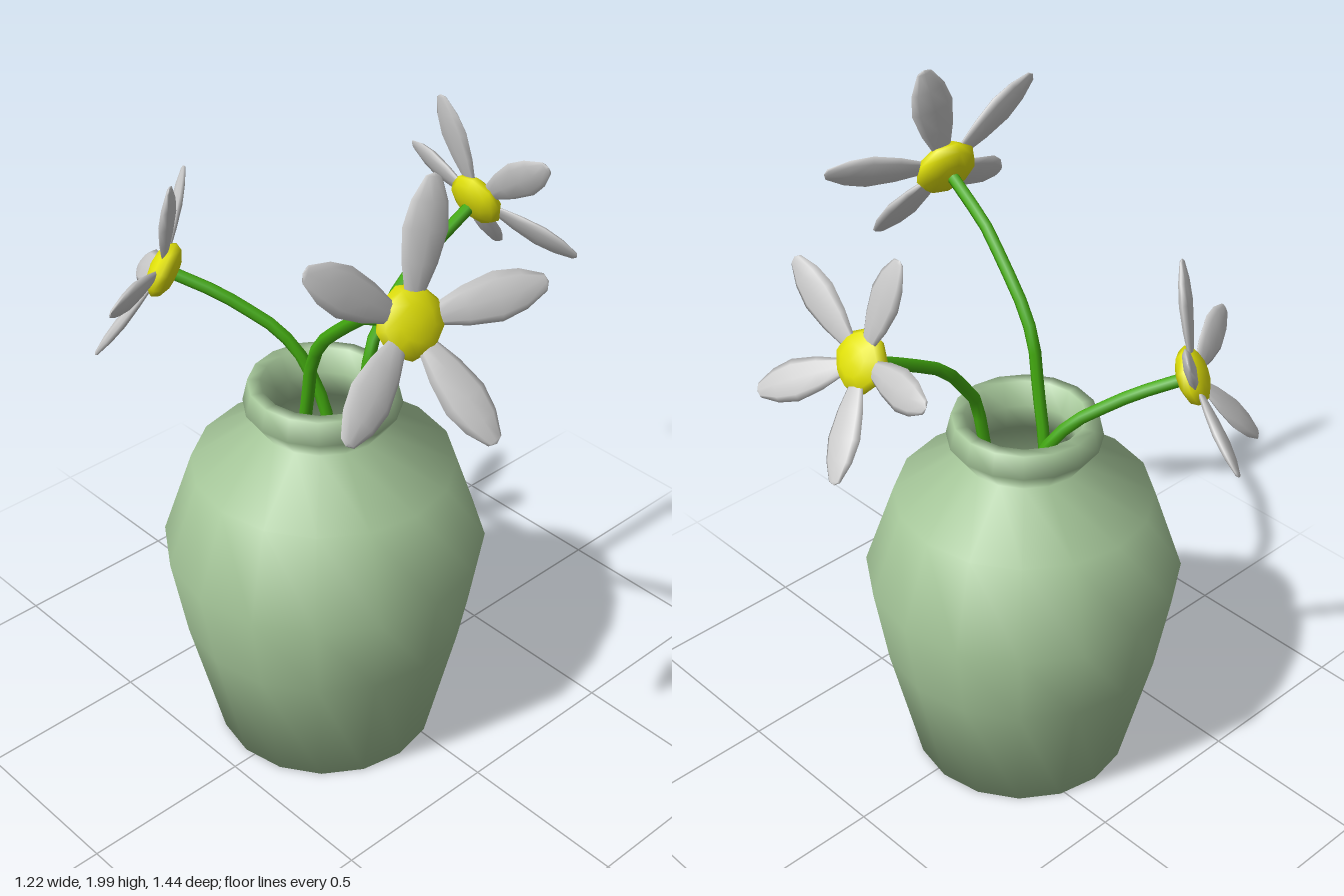
import * as THREE from 'three';

const mat = (color) => new THREE.MeshStandardMaterial({ color });
const green = mat(0xa5c699), stemGreen = mat(0x43aa10), yellow = mat(0xe2e208), grey = mat(0xcccccc);
const lathe = (pts, sides) => new THREE.LatheGeometry(pts.map(([r, y]) => new THREE.Vector2(r, y)), sides);

function add(parent, name, geometry, material) {
  const mesh = new THREE.Mesh(geometry, material);
  mesh.name = name;
  parent.add(mesh);
  return mesh;
}

// Hollow vase: outer wall from the base up, over the rim, down the inside
function makeVase() {
  const profile = [
    [0, 0], [0.32, 0], [0.415, 0.4], [0.457, 0.645], [0.37, 0.9], [0.177, 1.03],
    [0.22, 1.09], [0.205, 1.155], [0.17, 1.155], [0.142, 1.09], [0.142, 1.02],
    [0.34, 0.87], [0.42, 0.64], [0.38, 0.4], [0.29, 0.05], [0, 0.05],
  ];
  const vase = new THREE.Mesh(lathe(profile, 16), green);
  vase.name = 'vase';
  vase.position.set(-0.11, 0, -0.032);
  return vase;
}

// Flattened petal, growing along y from the flower's middle
const petalShape = lathe([
  [0, 0.04], [0.022, 0.055], [0.045, 0.13], [0.057, 0.205], [0.046, 0.265], [0.02, 0.318], [0, 0.326],
], 8).scale(1, 1, 0.3);
const heartShape = new THREE.SphereGeometry(0.086, 9, 6).rotateX(Math.PI / 2).scale(1, 1, 0.48);

// Five petals tilted forward round a yellow heart; the flower faces local +z
function makeBloom() {
  const bloom = new THREE.Group();
  bloom.name = 'bloom';
  add(bloom, 'heart', heartShape, yellow);
  for (let i = 0; i < 5; i++) {
    const spoke = new THREE.Group();
    spoke.name = 'petalSpoke';
    spoke.rotation.z = -THREE.MathUtils.degToRad(17 + 72 * i);
    add(spoke, 'petal', petalShape, grey).rotation.x = 0.235;
    bloom.add(spoke);
  }
  return bloom;
}

// Stem through the given points, with the bloom at its last point
function makeFlower({ name, stem, facing, size }) {
  const flower = new THREE.Group();
  flower.name = name;
  const points = stem.map((p) => new THREE.Vector3(...p));
  const curve = new THREE.CatmullRomCurve3(points, false, 'catmullrom', 0.2);
  add(flower, 'stem', new THREE.TubeGeometry(curve, 24, 0.018, 7), stemGreen);
  const bloom = makeBloom();
  bloom.position.copy(points[points.length - 1]);
  bloom.scale.setScalar(size);
  bloom.lookAt(bloom.position.clone().add(new THREE.Vector3(...facing)));
  flower.add(bloom);
  return flower;
}

const flowers = [
  {
    name: 'leftFlower', facing: [0.907, 0.42, -0.015], size: 0.98,
    stem: [[-0.02, 0.06, 0.015], [-0.02, 0.95, 0.015], [0.012, 1.16, 0.015], [0.03, 1.24, 0.015],
      [0.14, 1.385, 0.015], [0.27, 1.46, 0.015], [0.42, 1.535, 0.016]],
  },
  {
    name: 'frontFlower', facing: [-0.172, 0.408, 0.897], size: 1.1,
    stem: [[-0.208, 0.06, -0.015], [-0.208, 0.95, -0.015], [-0.214, 1.16, 0.022], [-0.22, 1.31, 0.05],
      [-0.232, 1.41, 0.12], [-0.262, 1.56, 0.29], [-0.298, 1.652, 0.49]],
  },
  {
    name: 'backFlower', facing: [-0.56, 0.41, -0.72], size: 0.96,
    stem: [[-0.02, 0.06, -0.115], [-0.02, 0.95, -0.115], [-0.065, 1.16, -0.178], [-0.11, 1.24, -0.235],
      [-0.2, 1.33, -0.345], [-0.3, 1.397, -0.46]],
  },
];

export function createModel() {
  const model = new THREE.Group();
  model.name = 'vaseOfFlowers';
  model.add(makeVase(), ...flowers.map(makeFlower));
  return model;
}
